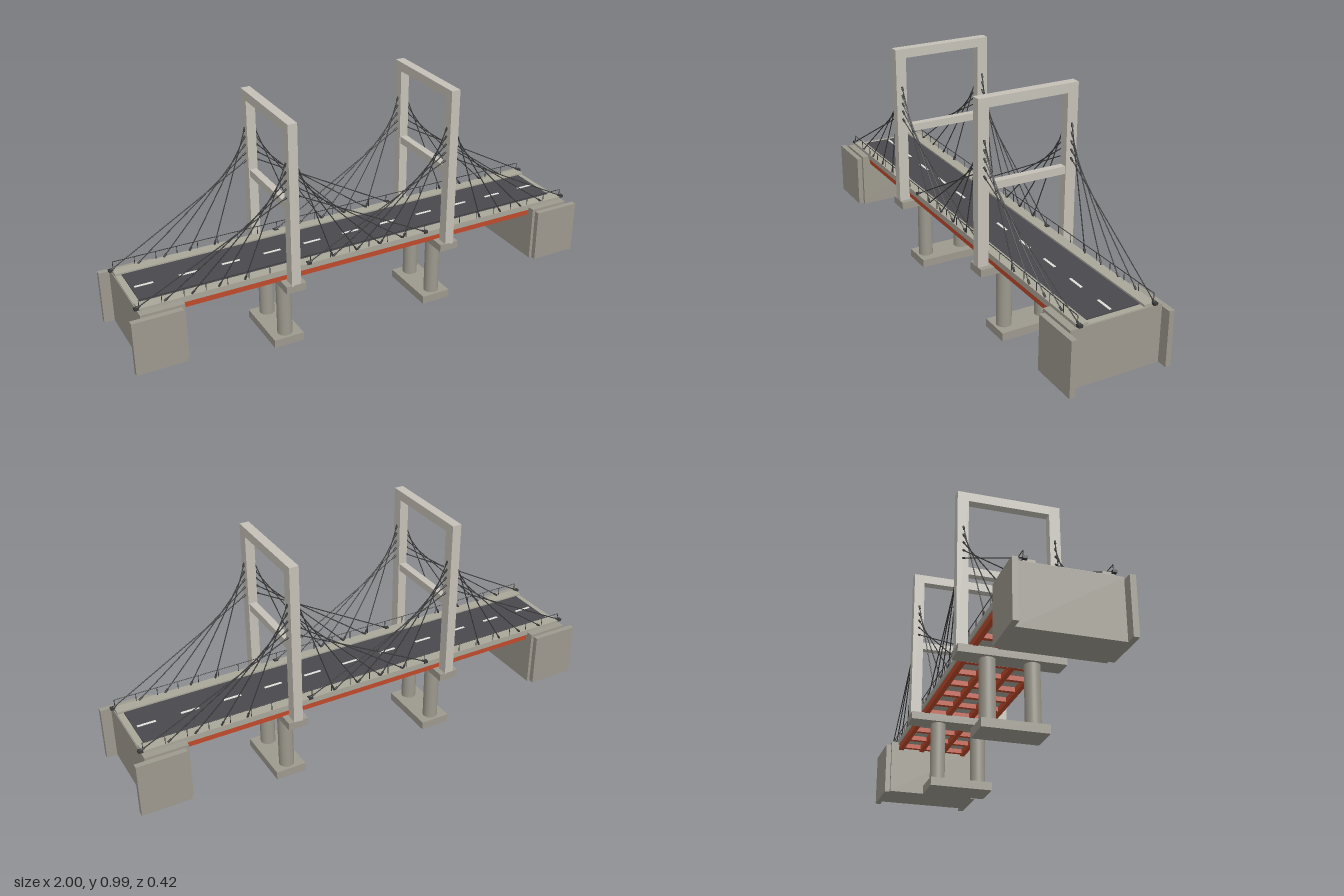
import * as THREE from 'three';

const mat = (name, color) => {
  const m = new THREE.MeshStandardMaterial({ color });
  m.name = name;
  return m;
};

export function createModel() {
  const bridge = new THREE.Group();
  bridge.name = 'cableStayedBridge';
  const tower = mat('pale tower concrete', 0xc5c1b7);
  const concrete = mat('grey concrete', 0x9d998e);
  const walk = mat('deck concrete', 0xa9a699);
  const asphalt = mat('asphalt', 0x49484e);
  const paint = mat('road paint', 0xe2e2dc);
  const steel = mat('red girder steel', 0xbf4a2b);
  const cableMat = mat('dark cable', 0x3a3a3a);

  const add = (name, geo, m, x, y, z) => {
    const mesh = new THREE.Mesh(geo, m);
    mesh.name = name;
    mesh.position.set(x, y, z);
    bridge.add(mesh);
    return mesh;
  };
  // box given by its limits on each axis
  const box = (name, m, x0, x1, y0, y1, z0, z1) =>
    add(name, new THREE.BoxGeometry(x1 - x0, y1 - y0, z1 - z0), m,
      (x0 + x1) / 2, (y0 + y1) / 2, (z0 + z1) / 2);
  // round rod between two points
  const rod = (name, m, a, b, r, sides = 6) => {
    const d = b.clone().sub(a);
    const mesh = add(name, new THREE.CylinderGeometry(r, r, d.length(), sides), m, 0, 0, 0);
    mesh.position.copy(a).add(b).multiplyScalar(0.5);
    mesh.quaternion.setFromUnitVectors(new THREE.Vector3(0, 1, 0), d.normalize());
    return mesh;
  };
  const V = (x, y, z) => new THREE.Vector3(x, y, z);

  // deck, road and lane dashes
  box('deckSlab', walk, -0.955, 0.955, 0.343, 0.358, -0.16, 0.16);
  box('road', asphalt, -0.93, 0.93, 0.356, 0.362, -0.113, 0.113);
  for (let i = 0; i < 11; i++) {
    const x = -0.88 + i * 0.176;
    box('laneDash', paint, x - 0.037, x + 0.037, 0.361, 0.364, -0.005, 0.005);
  }

  // kerbs and railings
  for (const s of [-1, 1]) {
    const z = s * 0.1375;
    box('kerb', walk, -0.955, 0.955, 0.356, 0.367, z - 0.0225, z + 0.0225);
    for (let i = 0; i <= 22; i++) {
      const x = -0.95 + i * (1.9 / 22);
      rod('railPost', cableMat, V(x, 0.365, s * 0.156), V(x, 0.4, s * 0.156), 0.0016, 5);
    }
    rod('handRail', cableMat, V(-0.95, 0.4, s * 0.156), V(0.95, 0.4, s * 0.156), 0.0016, 5);
  }

  // girder grid under the deck
  for (const z of [-0.145, -0.05, 0.05, 0.145])
    box('longGirder', steel, -0.8, 0.8, 0.318, 0.344, z - 0.01, z + 0.01);
  for (let i = 0; i < 15; i++) {
    const x = -0.77 + i * 0.11;
    box('crossGirder', steel, x - 0.009, x + 0.009, 0.323, 0.344, -0.145, 0.145);
  }

  for (const e of [-1, 1]) {
    // abutment with wing walls
    box('abutment', concrete, e * 0.8725 - 0.0855, e * 0.8725 + 0.0855, 0.12, 0.355, -0.189, 0.189);
    for (const s of [-1, 1])
      box('wingWall', concrete, e * 0.9 - 0.1, e * 0.9 + 0.1, 0.12, 0.344, s * 0.2 - 0.011, s * 0.2 + 0.011);

    // pier: footing, two columns and cap
    const tx = e * 0.347;
    box('pierFooting', concrete, tx - 0.064, tx + 0.064, 0, 0.035, -0.13, 0.13);
    box('pierCap', concrete, tx - 0.042, tx + 0.042, 0.288, 0.32, -0.211, 0.211);
    for (const s of [-1, 1])
      add('pierColumn', new THREE.CylinderGeometry(0.031, 0.031, 0.26, 24), concrete, tx, 0.161, s * 0.087);

    // portal tower
    for (const s of [-1, 1])
      box('towerLeg', tower, tx - 0.019, tx + 0.019, 0.315, 0.985, s * 0.1885 - 0.0225, s * 0.1885 + 0.0225);
    box('towerTopBeam', tower, tx - 0.019, tx + 0.019, 0.947, 0.985, -0.17, 0.17);
    box('towerCrossBeam', tower, tx - 0.015, tx + 0.015, 0.624, 0.655, -0.17, 0.17);

    // stay cables: the farthest deck anchor meets the lowest point of the tower
    for (const s of [-1, 1]) for (const dir of [-1, 1]) for (let i = 0; i < 5; i++) {
      const top = V(tx + dir * 0.019, 0.828 - i * 0.035, s * 0.187);
      const foot = V(tx + dir * (0.187 + i * 0.1065), 0.367, s * 0.154);
      rod('stayCable', cableMat, top, foot, 0.0022);
      const d = foot.clone().sub(top).normalize().multiplyScalar(0.018);
      rod('towerSocket', cableMat, top, top.clone().add(d), 0.0042, 8);
      rod('deckSocket', cableMat, foot.clone().sub(d), foot, 0.0042, 8);
      if (i === 4)
        box('deckAnchor', cableMat, foot.x - 0.009, foot.x + 0.009, 0.361, 0.371, foot.z - 0.008, foot.z + 0.008);
    }
  }
  return bridge;
}
